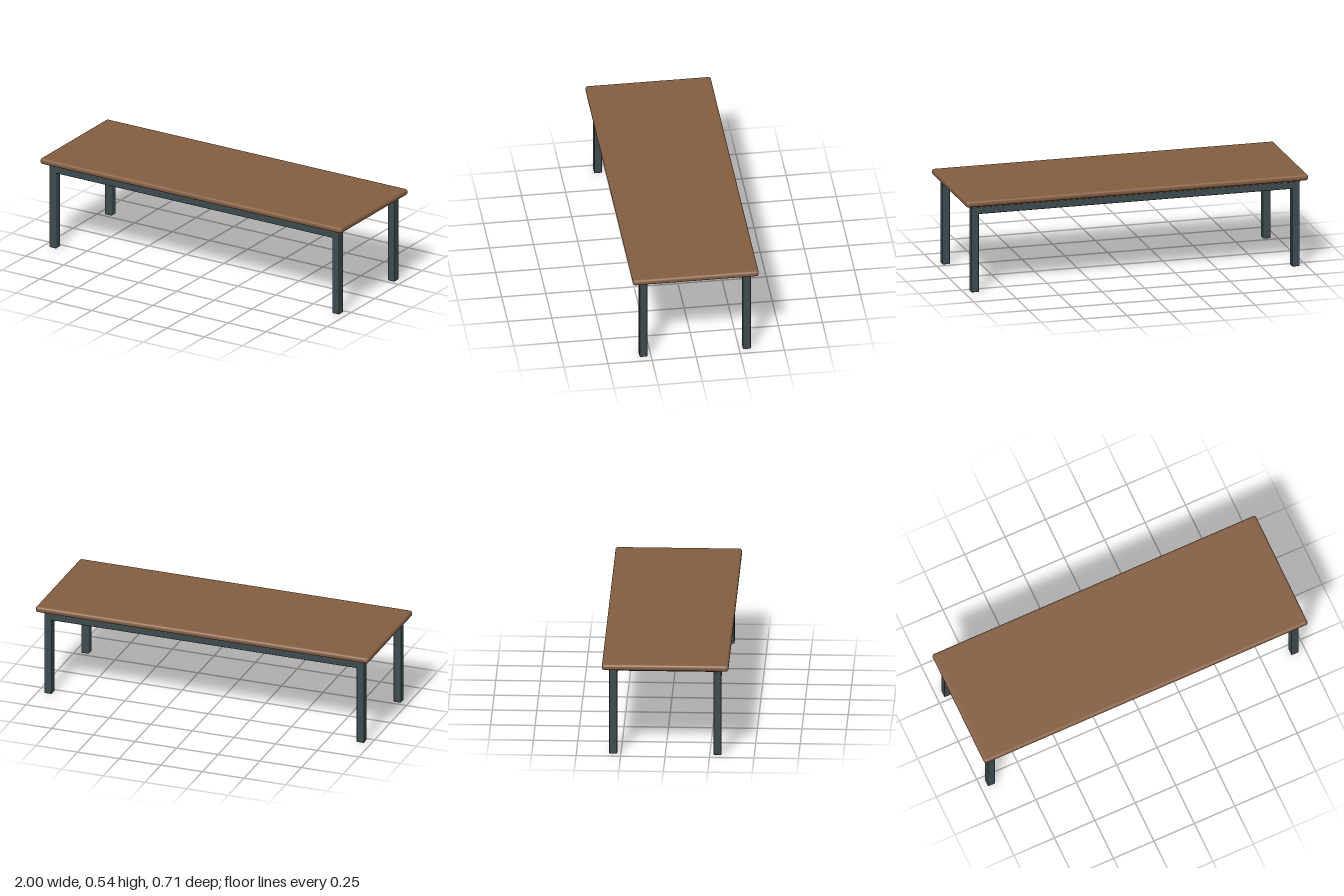
import * as THREE from 'three';
import { RoundedBoxGeometry } from 'three/addons/geometries/RoundedBoxGeometry.js';

export function createModel() {
  const table = new THREE.Group();
  table.name = 'table';
  const wood = new THREE.MeshStandardMaterial({ color: 0x835d40 });
  const steel = new THREE.MeshStandardMaterial({ color: 0x3d4b4f });

  // Rounded box given by its size, the height of its underside and its x, z centre
  function block(name, material, [w, h, d], bottom, x, z, radius) {
    const mesh = new THREE.Mesh(new RoundedBoxGeometry(w, h, d, 4, radius), material);
    mesh.name = name;
    mesh.position.set(x, bottom + h / 2, z);
    table.add(mesh);
  }

  // Top board and the thinner panel beneath it
  block('tableTop', wood, [2, 0.035, 0.712], 0.508, 0, 0, 0.015);
  block('underPanel', wood, [1.93, 0.013, 0.642], 0.496, 0, 0, 0.005);

  // Square tube legs and the long rails between them
  const tube = 0.045, legX = 0.938, legZ = 0.293;
  for (const sz of [1, -1]) {
    const end = sz > 0 ? 'front' : 'back';
    for (const sx of [1, -1]) {
      block(end + (sx > 0 ? 'LeftLeg' : 'RightLeg'), steel, [tube, 0.5, tube], 0, sx * legX, sz * legZ, 0.005);
    }
    block(end + 'Rail', steel, [2 * legX - tube + 0.01, tube, tube], 0.455, 0, sz * legZ, 0.005);
  }
  return table;
}
